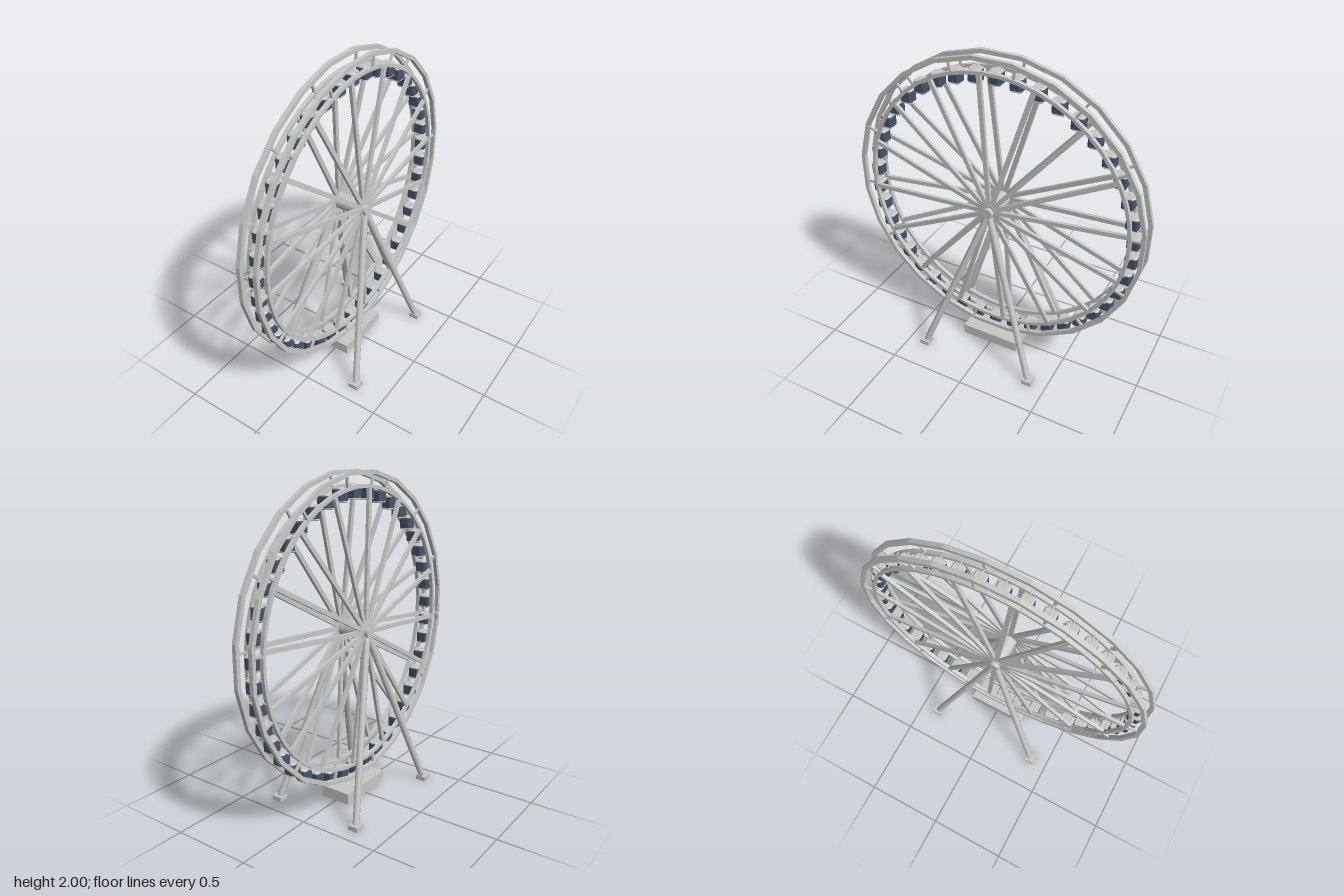
import * as THREE from 'three';

const CENTER_Y = 1.065;   // wheel axis height
const RIM_X = 0.055;      // half distance between the two rims

export function createModel() {
  const steel = new THREE.MeshStandardMaterial({ color: 0xc8c8c6 });
  steel.name = 'lightSteel';
  const glass = new THREE.MeshStandardMaterial({ color: 0x45566b });
  glass.name = 'slateGlass';
  const sheet = new THREE.MeshStandardMaterial({ color: 0xc8c8c6, side: THREE.DoubleSide });
  sheet.name = 'sheetSteel';

  const model = new THREE.Group();
  model.name = 'ferrisWheel';
  const wheel = new THREE.Group();
  wheel.name = 'wheel';
  wheel.position.y = CENTER_Y;
  model.add(wheel);

  const add = (parent, name, geometry, material = steel) => {
    const mesh = new THREE.Mesh(geometry, material);
    mesh.name = name;
    parent.add(mesh);
    return mesh;
  };

  // Straight member from a to b; its local x stays as close to world x as possible
  const beam = (parent, name, a, b, makeGeometry) => {
    const y = b.clone().sub(a);
    const length = y.length();
    y.normalize();
    const x = new THREE.Vector3(1, 0, 0).addScaledVector(y, -y.x).normalize();
    const z = new THREE.Vector3().crossVectors(x, y);
    const geometry = makeGeometry(length);
    geometry.applyMatrix4(new THREE.Matrix4().makeBasis(x, y, z));
    const mesh = add(parent, name, geometry);
    mesh.position.copy(a).add(b).multiplyScalar(0.5);
    return mesh;
  };

  // Point on the wheel, angle measured from the top towards the back
  const polar = (x, r, angle) => new THREE.Vector3(x, r * Math.cos(angle), -r * Math.sin(angle));

  // Faceted ring with a rectangular section, facing along x
  const ring = (outer, inner, sides, width) => {
    const points = (r) => Array.from({ length: sides }, (_, i) => {
      const t = ((i + 0.5) / sides) * Math.PI * 2;
      return new THREE.Vector2(r * Math.cos(t), r * Math.sin(t));
    });
    const shape = new THREE.Shape(points(outer));
    shape.holes.push(new THREE.Path(points(inner).reverse()));
    return new THREE.ExtrudeGeometry(shape, { depth: width, bevelEnabled: false })
      .translate(0, 0, -width / 2).rotateY(Math.PI / 2);
  };

  // Rims, spokes and short struts on both sides
  for (const s of [1, -1]) {
    add(wheel, 'outerRim', ring(0.943, 0.918, 24, 0.026)).position.x = s * RIM_X;
    add(wheel, 'innerRim', ring(0.858, 0.838, 48, 0.024)).position.x = s * RIM_X;
    for (let i = 0; i < 16; i++) {
      const t = THREE.MathUtils.degToRad(17.1 + i * 22.5);
      beam(wheel, 'spoke', polar(s * 0.088, 0.03, t), polar(s * RIM_X, 0.846, t),
        (l) => new THREE.BoxGeometry(0.02, l, 0.027));
    }
    for (let i = 0; i < 14; i++) {
      const t = THREE.MathUtils.degToRad(8.6 + (i * 360) / 14);
      beam(wheel, 'rimStrut', polar(s * RIM_X, 0.85, t), polar(s * RIM_X, 0.925, t),
        (l) => new THREE.BoxGeometry(0.014, l, 0.014));
    }
  }

  // Hub drum and axle
  add(wheel, 'hubDrum', new THREE.CylinderGeometry(0.05, 0.05, 0.2, 20).rotateZ(Math.PI / 2));
  add(wheel, 'axle', new THREE.CylinderGeometry(0.033, 0.033, 0.25, 16).rotateZ(Math.PI / 2));

  // Cabin pieces: square with cut corners, extruded upwards
  const cutSquare = (h, c) => new THREE.Shape([
    [h, -h + c], [h, h - c], [h - c, h], [-h + c, h],
    [-h, h - c], [-h, -h + c], [-h + c, -h], [h - c, -h],
  ].map(([x, y]) => new THREE.Vector2(x, y)));
  const slab = (half, y0, y1, bevel = 0) => new THREE.ExtrudeGeometry(cutSquare(half - bevel, 0.009), {
    depth: y1 - y0 - 2 * bevel, bevelEnabled: bevel > 0,
    bevelThickness: bevel, bevelSize: bevel, bevelSegments: 1,
  }).rotateX(-Math.PI / 2).translate(0, y0 + bevel, 0);

  const floorGeometry = slab(0.036, -0.087, -0.077, 0.004);
  const bodyGeometry = slab(0.036, -0.078, -0.018);
  const roofGeometry = slab(0.037, -0.019, -0.003, 0.007);
  const pinGeometry = new THREE.CylinderGeometry(0.005, 0.005, 0.11, 6).rotateZ(Math.PI / 2);

  // Cabins hang upright from their pivots
  const CABINS = 42;
  for (let i = 0; i < CABINS; i++) {
    const cabin = new THREE.Group();
    cabin.name = 'cabin';
    cabin.position.copy(polar(0, 0.86, (i / CABINS) * Math.PI * 2));
    add(cabin, 'cabinFloor', floorGeometry);
    add(cabin, 'cabinWindows', bodyGeometry, glass);
    add(cabin, 'cabinRoof', roofGeometry);
    add(cabin, 'cabinPivot', pinGeometry).position.y = -0.006;
    wheel.add(cabin);
  }

  // Four splayed legs with footings
  for (const sx of [1, -1]) {
    for (const sz of [1, -1]) {
      beam(model, 'supportLeg', new THREE.Vector3(sx * 0.292, 0.015, sz * 0.378),
        new THREE.Vector3(sx * 0.1, 1.055, 0),
        (l) => new THREE.CylinderGeometry(0.021, 0.021, l, 8));
      add(model, 'footing', new THREE.BoxGeometry(0.064, 0.03, 0.064))
        .position.set(sx * 0.293, 0.015, sz * 0.38);
    }
  }

  // Boarding platform: a box open underneath
  const platform = new THREE.BoxGeometry(0.2, 0.07, 0.39);
  const faces = Array.from(platform.index.array);
  faces.splice(18, 6);
  platform.setIndex(faces);
  platform.clearGroups();
  add(model, 'boardingPlatform', platform, sheet).position.y = 0.04;

  return model;
}
